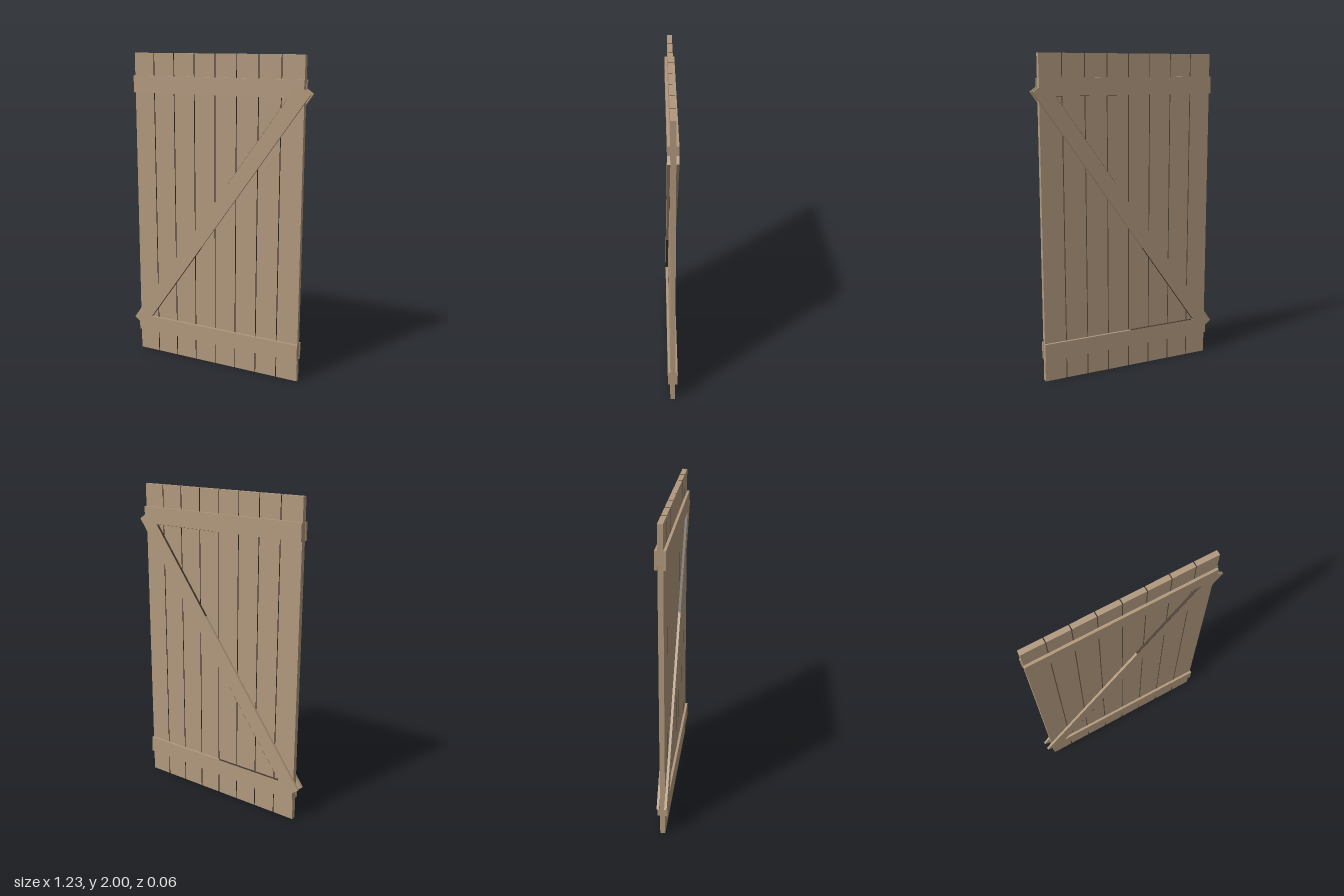
import * as THREE from 'three';

export function createModel() {
  const model = new THREE.Group();
  model.name = 'plankDoor';
  const wood = new THREE.MeshStandardMaterial({ color: 0xb1987d });
  wood.name = 'weathered wood';
  const grime = new THREE.MeshStandardMaterial({ color: 0x463b2f });
  grime.name = 'dark grime';

  const board = (name, w, h, d, material = wood, parent = model) => {
    const mesh = new THREE.Mesh(new THREE.BoxGeometry(w, h, d), material);
    mesh.name = name;
    parent.add(mesh);
    return mesh;
  };

  // Eight upright planks, dark on the sides facing a gap
  const count = 8, pitch = 0.1442, plankDepth = 0.031;
  for (let i = 0; i < count; i++) {
    const sides = [i < count - 1 ? grime : wood, i > 0 ? grime : wood, wood, wood, wood, wood];
    board(`plank${i + 1}`, 0.1385, 2, plankDepth, sides)
      .position.set((i - (count - 1) / 2) * pitch, 1, 0);
  }

  // Two rails and a diagonal brace on each face
  const halfWidth = 0.577, railOffset = 0.807, railDepth = 0.0155;
  const railHeight = 0.106, braceWidth = 0.097, film = 0.001;
  for (const [side, s] of [['front', 1], ['back', -1]]) {
    const z = s * (plankDepth + railDepth) / 2;
    const brace = board(`${side}Brace`, 2 * Math.hypot(halfWidth, railOffset), braceWidth, railDepth);
    brace.position.set(0, 1, z);
    brace.rotation.z = Math.atan2(railOffset, halfWidth);

    for (const [level, t] of [['Lower', -1], ['Upper', 1]]) {
      const rail = board(`${side}${level}Rail`, halfWidth * 2, railHeight, railDepth);
      rail.position.set(0, 1 + t * railOffset, z);

      // Grime on the brace edge, running out of the sharp corner
      board(`${side}${level}BraceGrime`, 0.66, film, railDepth, grime, brace)
        .position.set(t * 0.56, t * (braceWidth + film) / 2, 0);

      // Grime on the inner edge of the back rails
      if (s < 0) {
        board(`${side}${level}RailGrime`, 0.46, film, railDepth, grime, rail)
          .position.set(t * 0.24, -t * (railHeight + film) / 2, 0);
      }
    }
  }
  return model;
}
